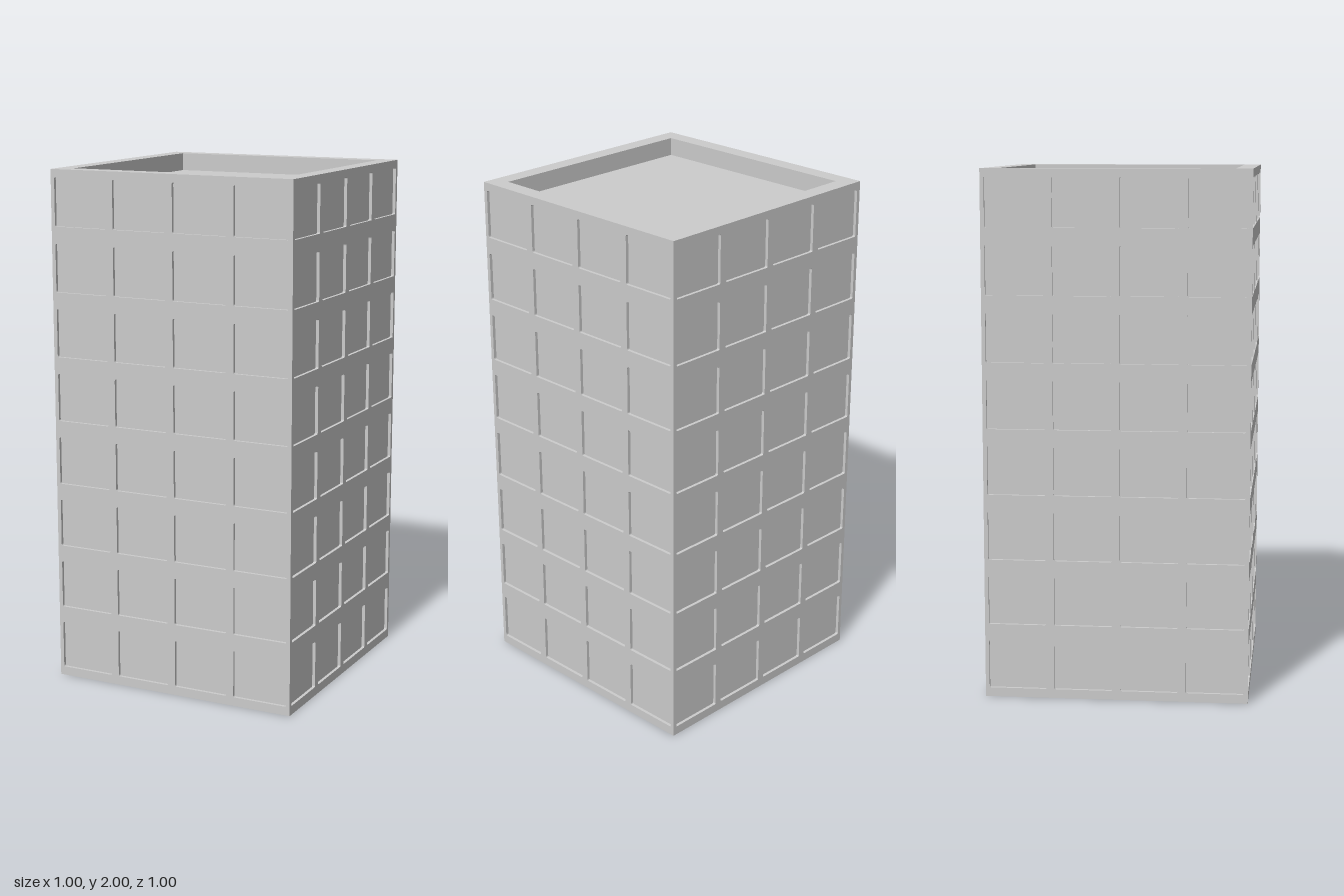
import * as THREE from 'three';

const HEIGHT = 2, HALF = 0.5, DEPTH = 0.012, PITCH = 0.25;
const WIN_W = 0.22, WIN_H = 0.185, WIN_Y = 0.127, WIN_R = 0.006;
const ROOF_Y = 1.93, PARAPET = 0.435;

// Axis-aligned rectangle outline, with optional rounded corners
function rectangle(target, x, y, w, h, r = 0) {
  const x1 = x + w, y1 = y + h;
  target.moveTo(x + r, y).lineTo(x1 - r, y);
  if (r) target.quadraticCurveTo(x1, y, x1, y + r);
  target.lineTo(x1, y1 - r);
  if (r) target.quadraticCurveTo(x1, y1, x1 - r, y1);
  target.lineTo(x + r, y1);
  if (r) target.quadraticCurveTo(x, y1, x, y1 - r);
  target.lineTo(x, y + r);
  if (r) target.quadraticCurveTo(x, y, x + r, y);
  return target;
}

// Thin facade sheet pierced by a 4 x 8 grid of windows
function facadeGeometry(width) {
  const shape = rectangle(new THREE.Shape(), -width / 2, 0, width, HEIGHT);
  for (let row = 0; row < 8; row++) {
    for (let col = 0; col < 4; col++) {
      const cx = (col - 1.5) * PITCH, cy = WIN_Y + row * PITCH;
      shape.holes.push(rectangle(new THREE.Path(), cx - WIN_W / 2, cy - WIN_H / 2, WIN_W, WIN_H, WIN_R));
    }
  }
  return new THREE.ExtrudeGeometry(shape, { depth: DEPTH, bevelEnabled: false, curveSegments: 3 });
}

export function createModel() {
  const model = new THREE.Group();
  model.name = 'towerBlock';
  const material = new THREE.MeshStandardMaterial({ color: 0xcccccc, flatShading: true, side: THREE.DoubleSide });
  const add = (parent, name, geometry) => {
    const mesh = new THREE.Mesh(geometry, material);
    mesh.name = name;
    parent.add(mesh);
    return mesh;
  };

  // Four walls: pierced facade with the window panes just behind it
  const inner = HALF - DEPTH;
  const wide = facadeGeometry(2 * HALF), narrow = facadeGeometry(2 * inner);
  ['front', 'left', 'back', 'right'].forEach((side, i) => {
    const wall = new THREE.Group();
    wall.name = side + 'Wall';
    wall.rotation.y = i * Math.PI / 2;
    add(wall, side + 'Facade', i % 2 ? narrow : wide).position.z = inner;
    add(wall, side + 'WindowPanes', new THREE.PlaneGeometry(2 * inner, HEIGHT))
      .position.set(0, HEIGHT / 2, inner - 0.0002);
    model.add(wall);
  });

  // Parapet ring around the sunken roof
  const ring = rectangle(new THREE.Shape(), -inner, -inner, 2 * inner, 2 * inner);
  ring.holes.push(rectangle(new THREE.Path(), -PARAPET, -PARAPET, 2 * PARAPET, 2 * PARAPET));
  const parapet = new THREE.ExtrudeGeometry(ring, { depth: HEIGHT - ROOF_Y, bevelEnabled: false });
  parapet.rotateX(-Math.PI / 2);
  add(model, 'parapet', parapet).position.y = ROOF_Y;

  // Flat roof; the underside of the building stays open
  const roof = new THREE.PlaneGeometry(2 * PARAPET, 2 * PARAPET).rotateX(-Math.PI / 2);
  add(model, 'roof', roof).position.y = ROOF_Y;

  return model;
}
